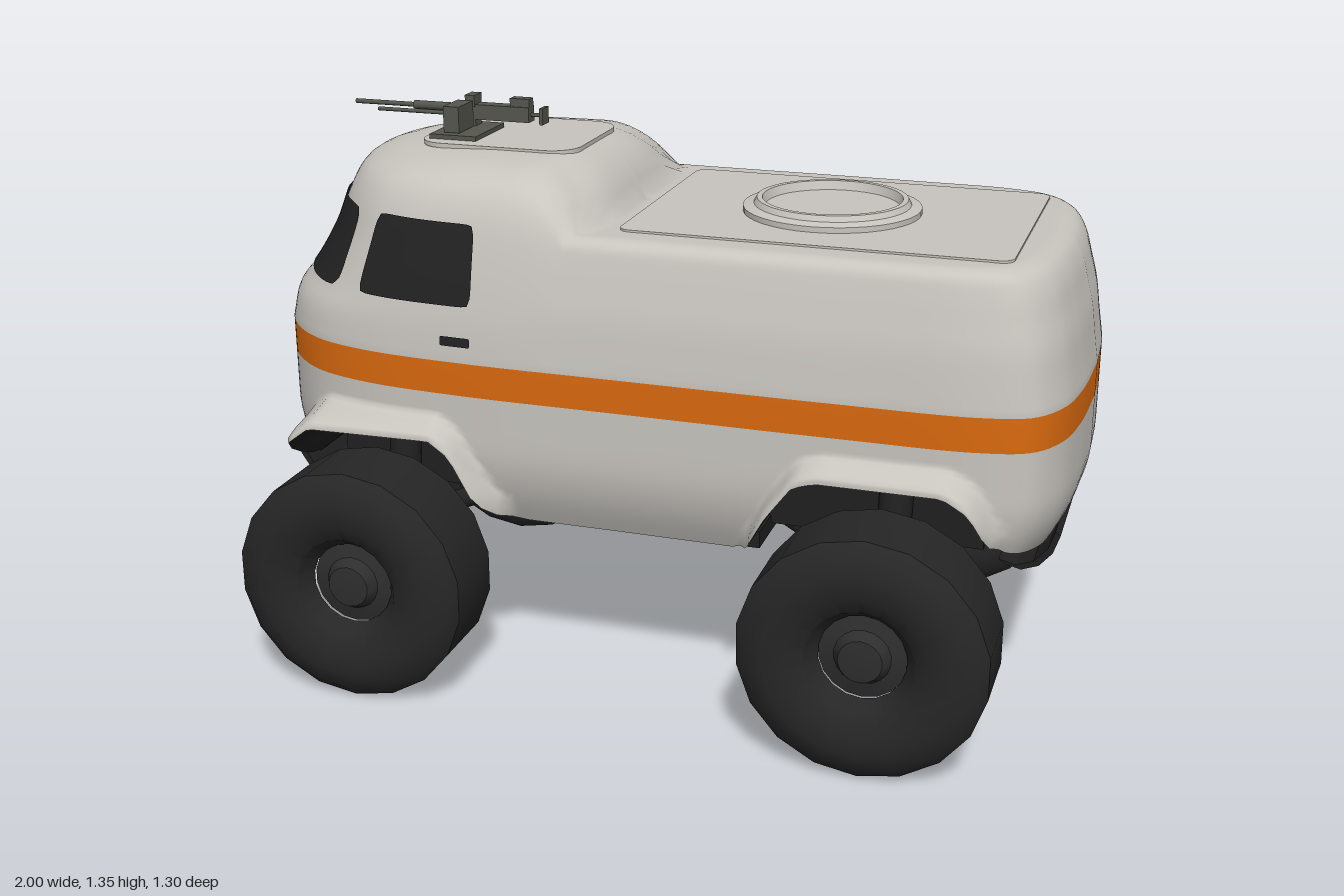
import * as THREE from 'three';
import { toCreasedNormals } from 'three/addons/utils/BufferGeometryUtils.js';

const mat = (name, color, extra = {}) => {
  const m = new THREE.MeshStandardMaterial({ color, ...extra });
  m.name = name;
  return m;
};
const V = (x, y, z) => new THREE.Vector3(x, y, z);
const { lerp, smoothstep, clamp } = THREE.MathUtils;

// Grid surface: fn(i, j) gives the point at column i, row j
function grid(nu, nv, fn) {
  const pos = [], idx = [];
  for (let j = 0; j <= nv; j++) for (let i = 0; i <= nu; i++) pos.push(...fn(i, j).toArray());
  for (let j = 0; j < nv; j++) for (let i = 0; i < nu; i++) {
    const a = j * (nu + 1) + i, b = a + 1, c = b + nu + 1, d = a + nu + 1;
    idx.push(a, b, c, a, c, d);
  }
  const g = new THREE.BufferGeometry();
  g.setAttribute('position', new THREE.Float32BufferAttribute(pos, 3));
  g.setIndex(idx);
  g.computeVertexNormals();
  return g;
}

// Half outline of the body in plan, nose to tail
const plan = new THREE.CatmullRomCurve3([[-1, 0], [-0.99, 0.1], [-0.96, 0.2], [-0.9, 0.3], [-0.8, 0.385],
  [-0.65, 0.435], [-0.4, 0.458], [0, 0.46], [0.5, 0.46], [0.8, 0.45], [0.91, 0.415], [0.965, 0.33],
  [0.99, 0.2], [1, 0]].map(([x, z]) => V(x, 0, z)));
plan.arcLengthDivisions = 600;

// Upper wall profiles: end inset, height, width scale
const profile = (rows) => new THREE.CatmullRomCurve3(rows.map((r) => V(...r)));
const cabWall = profile([[0, 0.815, 1], [0.02, 0.89, 0.985], [0.07, 0.95, 0.965], [0.13, 1.05, 0.92],
  [0.165, 1.14, 0.865], [0.2, 1.2, 0.79], [0.28, 1.24, 0.63], [0.4, 1.255, 0.41]]);
const deckWall = profile([[0, 0.815, 1], [-0.01, 0.88, 0.985], [-0.02, 0.95, 0.965], [-0.035, 1.01, 0.935],
  [-0.05, 1.065, 0.905], [-0.07, 1.1, 0.88], [-0.1, 1.117, 0.83], [-0.14, 1.12, 0.75]]);

// Lower edge of the body with its wheel arches
const edge = [[-1, 0.46], [-0.9, 0.475], [-0.87, 0.5], [-0.83, 0.585], [-0.77, 0.63], [-0.46, 0.635],
  [-0.41, 0.6], [-0.36, 0.51], [-0.31, 0.43], [-0.27, 0.42], [0.25, 0.42], [0.29, 0.44], [0.35, 0.55],
  [0.41, 0.63], [0.46, 0.645], [0.74, 0.645], [0.8, 0.61], [0.85, 0.52], [0.89, 0.49], [1, 0.465]];
function bottomY(x) {
  const k = clamp(edge.findIndex((e) => e[0] >= x), 1, edge.length - 1);
  const [a, b] = [edge[k - 1], edge[k]];
  return lerp(a[1], b[1], clamp((x - a[0]) / (b[0] - a[0]), 0, 1));
}
const outline = (t) => plan.getPointAt(Math.min(1, Math.abs(t)));

// Upper skin: t runs round the body, v up the wall, s from the roof edge (1) to the middle (0)
function upper(t, v, s = 1) {
  const p = outline(t), cab = cabWall.getPoint(v), deck = deckWall.getPoint(v);
  const x = p.x + cab.x * smoothstep(-p.x, 0.2, 1) + deck.x * smoothstep(p.x, 0.5, 1);
  const q = clamp((x + 0.25 + 0.1 * (p.z * deck.z * s / 0.46) ** 4) / 0.15, 0, 1);
  const c = (1 - q * q) ** 0.7;
  return V(x, lerp(deck.y, cab.y, c), Math.sign(t) * p.z * s * lerp(deck.z, cab.z, c));
}

// Lower skin: f from the bottom edge (0) to the stripe (1), flared at the arches
function lower(t, f) {
  const p = outline(t), y0 = bottomY(p.x), y = lerp(y0, 0.735, f);
  const k = clamp((0.62 - y) / 0.18, 0, 1.1);
  const x = p.x - Math.sign(p.x) * 0.06 * k * k * smoothstep(Math.abs(p.x), 0.7, 1);
  const arch = (a, b) => smoothstep(p.x, a, a + 0.07) * (1 - smoothstep(p.x, b - 0.07, b));
  const flare = (arch(-0.89, -0.29) + arch(0.26, 0.88)) * (1 - smoothstep(y - y0, 0.012, 0.05));
  return V(x, y, Math.sign(t) * lerp(p.z * (1 - 0.1 * k * k), 0.515, flare));
}

const solve = (fn, target) => {
  let a = 0, b = 1;
  for (let n = 0; n < 30; n++) { const m = (a + b) / 2; if (fn(m) < target) a = m; else b = m; }
  return (a + b) / 2;
};
const wallV = (y) => solve((v) => cabWall.getPoint(v).y, y);
const wallT = (x, v) => solve((t) => upper(t, v).x, x);
function onSkin(t, v, off) {
  const e = 0.004, p = upper(t, v);
  const n = upper(t + e, v).sub(upper(t - e, v)).cross(upper(t, v + e).sub(upper(t, v - e))).normalize();
  return p.addScaledVector(n, off);
}

export function createModel() {
  const model = new THREE.Group();
  const paint = mat('light grey paint', 0xc8c5bf), orange = mat('orange paint', 0xd9690f);
  const rubber = mat('tyre rubber', 0x262626), metal = mat('gun metal', 0x56564f);
  const glass = mat('dark glass', 0x222222, { side: THREE.DoubleSide });
  const dark = mat('dark underside', 0x202020, { side: THREE.DoubleSide });
  const hubMat = mat('hub grey', 0x2e2e2e);
  const add = (name, geo, m, x = 0, y = 0, z = 0, parent = model) => {
    const o = new THREE.Mesh(geo, m);
    o.name = name;
    o.position.set(x, y, z);
    parent.add(o);
    return o;
  };
  const box = (name, m, x0, x1, y0, y1, z0, z1) => add(name, new THREE.BoxGeometry(x1 - x0, y1 - y0, z1 - z0),
    m, (x0 + x1) / 2, (y0 + y1) / 2, (z0 + z1) / 2);
  const rod = (name, m, a, b, r, sides = 12) => {
    const d = b.clone().sub(a), o = add(name, new THREE.CylinderGeometry(r, r, d.length(), sides), m);
    o.position.copy(a).lerp(b, 0.5);
    o.quaternion.setFromUnitVectors(V(0, 1, 0), d.normalize());
    return o;
  };

  // Body shell: lower walls, stripe, upper walls and roof in one smooth skin
  const NU = 260, LOW = 12, UP = 26, CAP = 6;
  const shell = grid(NU, LOW + 1 + UP + CAP, (i, j) => {
    const t = i / NU * 2 - 1;
    if (j <= LOW) return lower(t, j / LOW);
    const k = j - LOW - 1;
    return k <= UP ? upper(t, k / UP) : upper(t, 1, 1 - (k - UP) / CAP);
  });
  const row = NU * 6;
  shell.addGroup(0, LOW * row, 0);
  shell.addGroup(LOW * row, row, 1);
  shell.addGroup((LOW + 1) * row, (UP + CAP) * row, 0);
  add('body', shell, [paint, orange]);
  add('wheelArchLining', grid(NU, 4, (i, j) => {
    const p = lower(i / NU * 2 - 1, 0);
    return p.setZ(p.z * (1 - j / 4));
  }), dark);

  // Windows and door handles follow the skin
  const pane = (name, m, nu, nv, at) => add(name, grid(nu, nv, (i, j) => {
    const b = j / nv * 2 - 1, a = (i / nu * 2 - 1) * (1 - 0.05 * Math.abs(b) ** 10);
    return at(a, b * (1 - 0.08 * Math.abs(a) ** 16));
  }), m);
  pane('windscreen', glass, 50, 12, (a, b) => {
    const v = wallV(1.035 + 0.093 * b);
    return onSkin(a * wallT(-0.715 + 0.025 * b, v), v, 0.005);
  });
  for (const side of [1, -1]) {
    const patch = (name, x0, x1, lean, y, h) => pane(name, glass, 20, 12, (a, b) => {
      const v = wallV(y + h * b);
      return onSkin(side * wallT(lerp(x0 + lean * b, x1, (a + 1) / 2), v), v, 0.005);
    });
    patch('sideWindow', -0.65, -0.37, 0.022, 1.038, 0.092);
    patch('doorHandle', -0.445, -0.37, 0, 0.865, 0.011);
  }

  // Roof panels and round hatch
  const plate = (name, x0, x1, hz, r, y, h) => {
    const s = new THREE.Shape();
    s.absarc(x1 - r, hz - r, r, 0, Math.PI / 2);
    s.absarc(x0 + r, hz - r, r, Math.PI / 2, Math.PI);
    s.absarc(x0 + r, r - hz, r, Math.PI, Math.PI * 1.5);
    s.absarc(x1 - r, r - hz, r, Math.PI * 1.5, Math.PI * 2);
    const g = new THREE.ExtrudeGeometry(s, { depth: h, bevelEnabled: false, curveSegments: 8 });
    add(name, g.rotateX(-Math.PI / 2), paint, 0, y, 0);
  };
  plate('rearRoofPanel', -0.06, 0.835, 0.315, 0.03, 1.115, 0.01);
  plate('cabRoofPanel', -0.62, -0.22, 0.178, 0.07, 1.25, 0.011);
  const lathe = (pts, n) => toCreasedNormals(
    new THREE.LatheGeometry(pts.map(([r, y]) => new THREE.Vector2(r, y)), n), 0.6);
  add('roofHatch', lathe([[0.21, 0], [0.21, 0.018], [0.185, 0.024], [0.178, 0.037], [0.165, 0.037],
    [0.158, 0.016], [0, 0.016]], 40), paint, 0.365, 1.12, 0);

  // Roof gun on its mount
  box('gunBase', metal, -0.6, -0.48, 1.258, 1.272, -0.04, 0.135);
  box('gunPost', metal, -0.57, -0.53, 1.265, 1.3, -0.018, 0.018);
  box('gunReceiver', metal, -0.57, -0.39, 1.288, 1.325, -0.018, 0.018);
  box('gunCover', metal, -0.44, -0.39, 1.325, 1.345, -0.014, 0.014);
  box('gunSight', metal, -0.555, -0.53, 1.32, 1.348, -0.022, 0.022);
  box('ammoBox', metal, -0.568, -0.528, 1.275, 1.338, 0.035, 0.122);
  box('gunGrip', metal, -0.362, -0.353, 1.285, 1.325, -0.02, 0.02);
  rod('gunGripBar', metal, V(-0.4, 1.305, 0), V(-0.355, 1.305, 0), 0.005, 8);
  rod('gunBarrel', metal, V(-0.86, 1.312, 0), V(-0.56, 1.312, 0), 0.006, 8);
  rod('gunBarrelSleeve', metal, V(-0.7, 1.312, 0), V(-0.56, 1.312, 0), 0.011, 8);
  rod('gunGasTube', metal, V(-0.8, 1.296, 0), V(-0.56, 1.296, 0), 0.005, 8);

  // Chassis
  box('chassis', dark, -0.8, 0.8, 0.43, 0.6, -0.27, 0.27);
  box('bellyPlate', dark, -0.36, 0.3, 0.408, 0.45, -0.37, 0.37);
  box('underTank', dark, 0.08, 0.28, 0.373, 0.42, -0.16, 0.16);

  // Curved bumper plates at both ends
  const bumper = (name, pts) => {
    const s = new THREE.Shape();
    const n = Math.sign(pts[0][0]);
    pts.forEach(([x, y], i) => (i ? s.lineTo(x, y) : s.moveTo(x, y)));
    [...pts].reverse().forEach(([x, y]) => s.lineTo(x - n * 0.012, y + 0.01));
    add(name, new THREE.ExtrudeGeometry(s, { depth: 0.42, bevelEnabled: false }), dark, 0, 0, -0.21);
  };
  bumper('frontBumper', [[-0.985, 0.485], [-0.965, 0.43], [-0.935, 0.385], [-0.9, 0.362], [-0.86, 0.37]]);
  bumper('rearBumper', [[0.965, 0.46], [0.95, 0.415], [0.92, 0.38], [0.88, 0.365], [0.84, 0.375]]);
  for (const s of [1, -1]) box('bumperBracket', dark, s * 0.83 - 0.08, s * 0.83 + 0.08, 0.38, 0.48, -0.04, 0.04);

  // Axles, struts and wheels
  const tyre = lathe([[0.1, -0.07], [0.125, -0.108], [0.165, -0.126], [0.215, -0.13], [0.26, -0.115],
    [0.285, -0.09], [0.285, 0.09], [0.26, 0.115], [0.215, 0.13], [0.165, 0.126], [0.125, 0.108], [0.1, 0.07]], 18);
  const hub = lathe([[0, -0.1], [0.05, -0.095], [0.065, -0.07], [0.102, -0.06], [0.102, 0.06],
    [0.065, 0.07], [0.05, 0.095], [0, 0.1]], 18);
  for (const x of [-0.635, 0.595]) {
    rod('axle', dark, V(x, 0.32, -0.45), V(x, 0.32, 0.45), 0.04);
    const diff = add('differential', new THREE.CylinderGeometry(0.085, 0.085, 0.26, 12), dark, x, 0.325, 0);
    diff.rotation.x = Math.PI / 2;
    for (const s of [1, -1]) {
      rod('strut', dark, V(x, 0.32, s * 0.31), V(x, 0.6, s * 0.26), 0.04);
      rod('controlArm', dark, V(x, 0.34, s * 0.32), V(x - Math.sign(x) * 0.3, 0.44, s * 0.2), 0.025);
      const wheel = new THREE.Group();
      wheel.name = 'wheel';
      wheel.position.set(x, 0.285, s * 0.52);
      wheel.rotation.x = Math.PI / 2;
      model.add(wheel);
      add('tyre', tyre, rubber, 0, 0, 0, wheel);
      add('hub', hub, hubMat, 0, 0, 0, wheel);
    }
  }
  return model;
}
